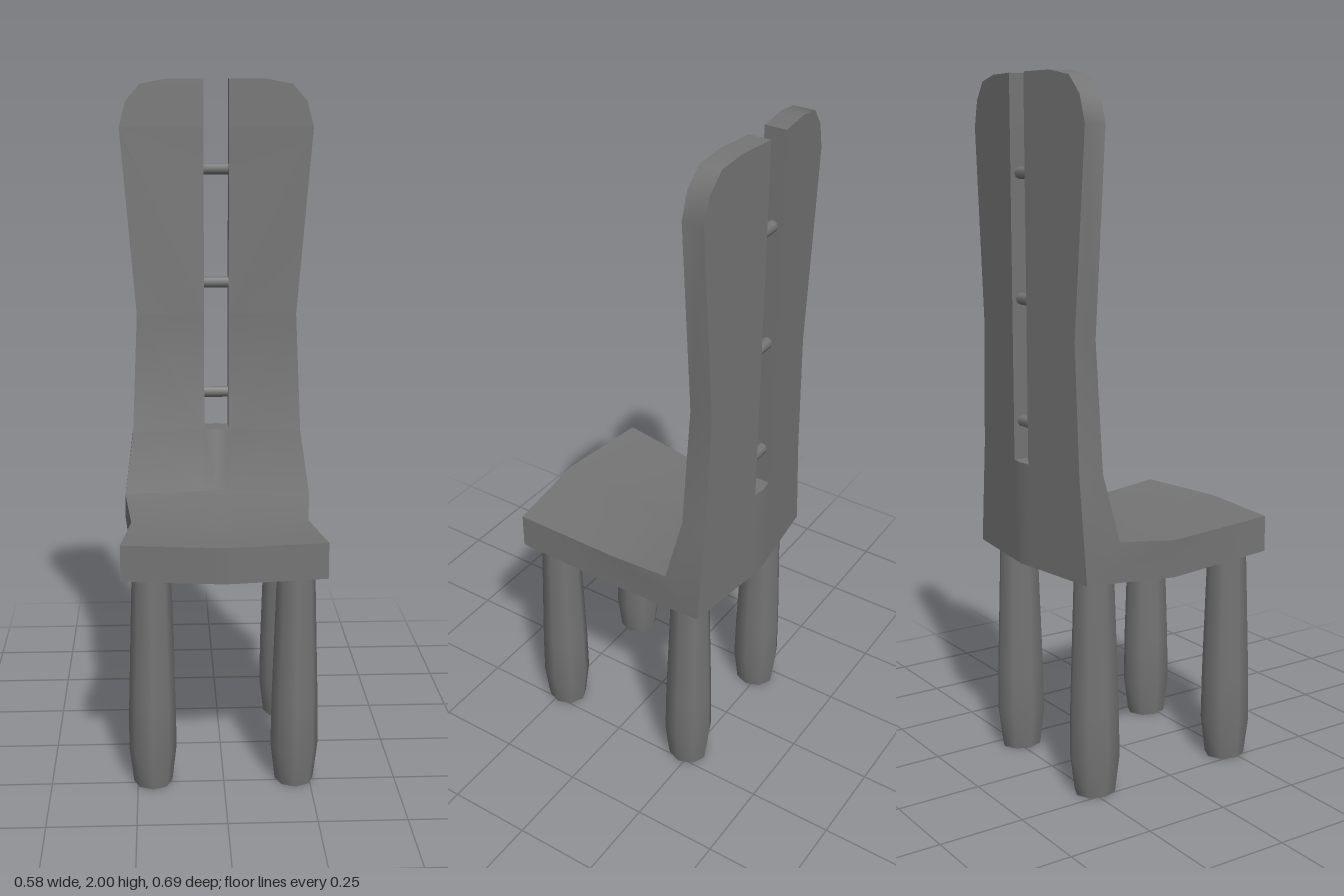
import * as THREE from 'three';
import { toCreasedNormals } from 'three/addons/utils/BufferGeometryUtils.js';

const material = new THREE.MeshStandardMaterial({ color: 0x747474 });
const SLOT = 0.038; // half width of the slot in the backrest
const VEE = 0.12;   // slope of the shallow V across the width

// Sections running from the front of the seat to the top of the backrest.
// Each has an upper (then forward) and a lower (then rear) edge: [y, z at centre, half width, V direction]
const upright = (y, zFront, w) => [[y, zFront, w, 1], [y, -0.346, w, 1]];
const sections = [
  [[0.745, 0.345, 0.29, -1], [0.64, 0.345, 0.29, -1]],
  [[0.715, 0, 0.265, 0], [0.606, 0, 0.265, 0]],
  [[0.745, -0.235, 0.286, 1], [0.64, -0.346, 0.29, 1]],
  upright(0.935, -0.27, 0.26),
  upright(1.3, -0.28, 0.244),
  upright(1.86, -0.283, 0.29),
  upright(1.935, -0.283, 0.27),
  upright(1.985, -0.283, 0.227),
  upright(2.0, -0.283, 0.148),
];
const SLOT_ROW = 3; // the slot starts at this section

function bodyGeometry() {
  const positions = [];
  const point = ([y, z, , v], x) => [x, y, z + v * VEE * x];

  const quad = (a, b, c, d) => {
    for (const side of [1, -1]) {
      const order = side > 0 ? [a, b, c, a, c, d] : [a, c, b, a, d, c];
      for (const p of order) positions.push(p[0] * side, p[1], p[2]);
    }
  };

  // One strip between an inner and an outer line; both mirrored halves are made at once
  const strip = (rows, inner, outer, hasSide) => {
    const rings = rows.map(([top, low]) => [
      point(top, inner), point(top, outer(top)), point(low, outer(low)), point(low, inner),
    ]);
    for (let i = 0; i < rings.length - 1; i++) {
      const p = rings[i], q = rings[i + 1];
      for (let k = 0; k < 4; k++) {
        if (k === 1 && !hasSide) continue;                    // joins the outer strip
        if (k === 3 && !(hasSide && i >= SLOT_ROW)) continue; // only the slot has inner walls
        const n = (k + 1) % 4;
        quad(p[k], p[n], q[n], q[k]);
      }
    }
    const [a, b, c, d] = rings[0];
    quad(a, d, c, b);
    quad(...rings[rings.length - 1]);
  };

  strip(sections.slice(0, SLOT_ROW + 1), 0, () => SLOT, false);
  strip(sections, SLOT, (edge) => edge[2], true);

  const geometry = new THREE.BufferGeometry();
  geometry.setAttribute('position', new THREE.Float32BufferAttribute(positions, 3));
  return toCreasedNormals(geometry, 0.9);
}

function legGeometry() {
  const profile = [[0, 0], [0.056, 0], [0.069, 0.11], [0.067, 0.25], [0.055, 0.63], [0.054, 0.67]];
  const lathe = new THREE.LatheGeometry(profile.map(([r, y]) => new THREE.Vector2(r, y)), 8);
  lathe.scale(1, 1, 1.08);
  return toCreasedNormals(lathe, 0.9);
}

export function createModel() {
  const chair = new THREE.Group();
  chair.name = 'chair';

  const add = (name, geometry, x, y, z) => {
    const mesh = new THREE.Mesh(geometry, material);
    mesh.name = name;
    mesh.position.set(x, y, z);
    chair.add(mesh);
  };

  // Seat and backrest in one continuous piece
  add('seatAndBackrest', bodyGeometry(), 0, 0, 0);

  // Four tapered legs
  const leg = legGeometry();
  for (const [side, x] of [['Left', 0.206], ['Right', -0.206]]) {
    add('front' + side + 'Leg', leg, x, 0, 0.236);
    add('back' + side + 'Leg', leg, x, 0, -0.234);
  }

  // Rungs across the slot
  const rung = new THREE.CylinderGeometry(0.017, 0.017, 2 * SLOT + 0.02, 8).rotateZ(Math.PI / 2);
  [1.045, 1.39, 1.735].forEach((y, i) => add('rung' + (i + 1), rung, 0, y, -0.313));

  return chair;
}
